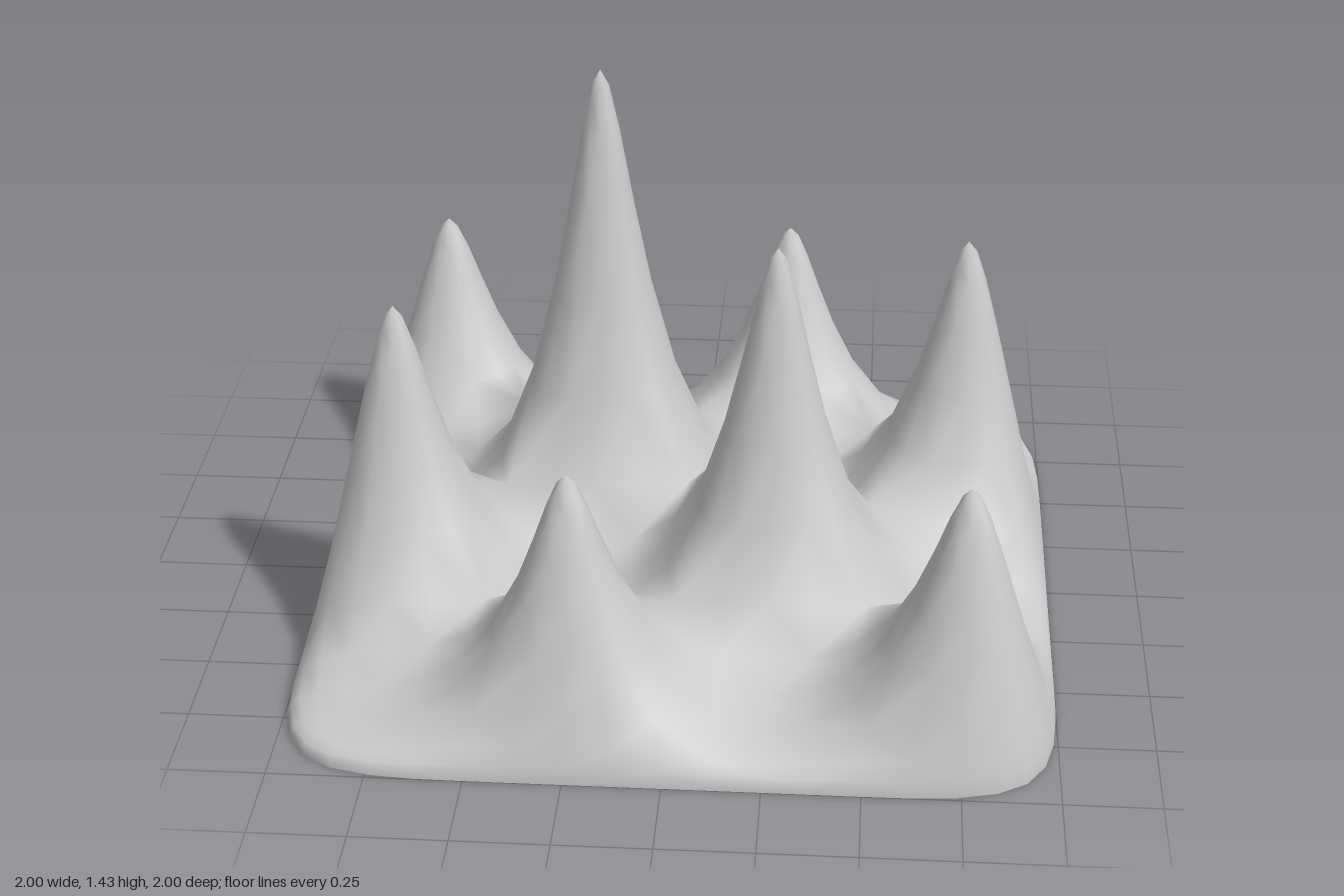
import * as THREE from 'three';

const CELLS = 4, CELL = 0.5, TIP = 0.019, RIM = 0.07;
// Cage height of the peak in each cell, rows from back to front (0 = flat cell)
const HEIGHTS = [
  [0.81, 0, 0.81, 0],
  [0, 1.545, 0, 1.03],
  [1.03, 0, 1.245, 0],
  [0, 0.81, 0, 0.81],
];

const average = (list) =>
  list.reduce((sum, p) => sum.add(p), new THREE.Vector3()).divideScalar(list.length);

// Raised grid with a low skirt; chequered cells are extruded and shrunk to narrow tips
function buildCage() {
  const points = [], faces = [];
  const n = CELLS + 1;
  for (let j = 0; j < n; j++) {
    for (let i = 0; i < n; i++) points.push(new THREE.Vector3(i * CELL - 1, RIM, j * CELL - 1));
  }
  for (let j = 0; j < CELLS; j++) {
    for (let i = 0; i < CELLS; i++) {
      const a = j * n + i;
      const base = [a, a + n, a + n + 1, a + 1];
      const height = HEIGHTS[j][i];
      if (!height) {
        faces.push(base);
        continue;
      }
      const centre = average(base.map((k) => points[k]));
      const top = base.map((k) => {
        const p = points[k].clone().sub(centre).multiplyScalar(TIP / (CELL / 2)).add(centre);
        p.y = height;
        return points.push(p) - 1;
      });
      base.forEach((k, s) => faces.push([k, base[(s + 1) % 4], top[(s + 1) % 4], top[s]]));
      faces.push(top);
    }
  }

  // Skirt from the grid's border down to the ground
  const border = [];
  for (let k = 0; k < CELLS; k++) border.push(k * n);
  for (let k = 0; k < CELLS; k++) border.push(CELLS * n + k);
  for (let k = CELLS; k > 0; k--) border.push(k * n + CELLS);
  for (let k = CELLS; k > 0; k--) border.push(k);
  const foot = border.map((k) => points.push(points[k].clone().setY(0)) - 1);
  border.forEach((k, s) => {
    const next = (s + 1) % border.length;
    faces.push([border[next], k, foot[s], foot[next]]);
  });
  return { points, faces };
}

// Edges, and for each point the faces and edges that meet there
function connect({ points, faces }) {
  const edges = new Map();
  const around = points.map(() => ({ faces: [], edges: [] }));
  faces.forEach((face, f) => face.forEach((a, s) => {
    const b = face[(s + 1) % 4];
    const key = Math.min(a, b) + '_' + Math.max(a, b);
    if (!edges.has(key)) {
      const edge = { a, b, faces: [] };
      edges.set(key, edge);
      around[a].edges.push(edge);
      around[b].edges.push(edge);
    }
    edges.get(key).faces.push(f);
    around[a].faces.push(f);
  }));
  return { edges, around };
}

// One step of Catmull-Clark subdivision
function subdivide(mesh) {
  const { points, faces } = mesh;
  const { edges, around } = connect(mesh);
  const centres = faces.map((face) => average(face.map((k) => points[k])));

  const moved = points.map((p, k) => {
    const { faces: fs, edges: es } = around[k];
    const rim = es.filter((e) => e.faces.length === 1);
    if (rim.length) {
      const mids = average(rim.map((e) => average([points[e.a], points[e.b]])));
      return average([p, mids]);
    }
    const count = es.length;
    const mids = average(es.map((e) => average([points[e.a], points[e.b]])));
    return average(fs.map((f) => centres[f]))
      .addScaledVector(mids, 2)
      .addScaledVector(p, count - 3)
      .divideScalar(count);
  });

  const out = [...moved, ...centres];
  for (const e of edges.values()) {
    const ends = [points[e.a], points[e.b]];
    const inner = e.faces.length === 2 ? e.faces.map((f) => centres[f]) : [];
    e.index = out.push(average([...ends, ...inner])) - 1;
  }
  const mid = (a, b) => edges.get(Math.min(a, b) + '_' + Math.max(a, b)).index;
  const quads = [];
  faces.forEach((face, f) => face.forEach((k, s) => {
    quads.push([k, mid(k, face[(s + 1) % 4]), points.length + f, mid(face[(s + 3) % 4], k)]);
  }));
  return { points: out, faces: quads };
}

// Moves every point onto the smooth limit surface
function project(mesh) {
  const { points, faces } = mesh;
  const { around } = connect(mesh);
  const moved = points.map((p, k) => {
    const { faces: fs, edges: es } = around[k];
    const far = (e) => points[e.a === k ? e.b : e.a];
    const rim = es.filter((e) => e.faces.length === 1);
    if (rim.length) {
      return p.clone().multiplyScalar(4).add(far(rim[0])).add(far(rim[1])).divideScalar(6);
    }
    const n = es.length;
    const sum = p.clone().multiplyScalar(n * n);
    es.forEach((e) => sum.addScaledVector(far(e), 4));
    fs.forEach((f) => sum.add(points[faces[f][(faces[f].indexOf(k) + 2) % 4]]));
    return sum.divideScalar(n * (n + 5));
  });
  return { points: moved, faces };
}

export function createModel() {
  const { points, faces } = project(subdivide(subdivide(buildCage())));
  const geometry = new THREE.BufferGeometry().setFromPoints(points);
  geometry.setIndex(faces.flatMap(([a, b, c, d]) => [a, b, c, a, c, d]));
  geometry.computeVertexNormals();

  // Open, thin sheet with eight smooth peaks and a rounded rim
  const sheet = new THREE.Mesh(
    geometry,
    new THREE.MeshStandardMaterial({ color: 0xcccccc, side: THREE.DoubleSide }),
  );
  sheet.name = 'peakedSheet';

  const group = new THREE.Group();
  group.name = 'spikedLandscape';
  group.add(sheet);
  return group;
}
